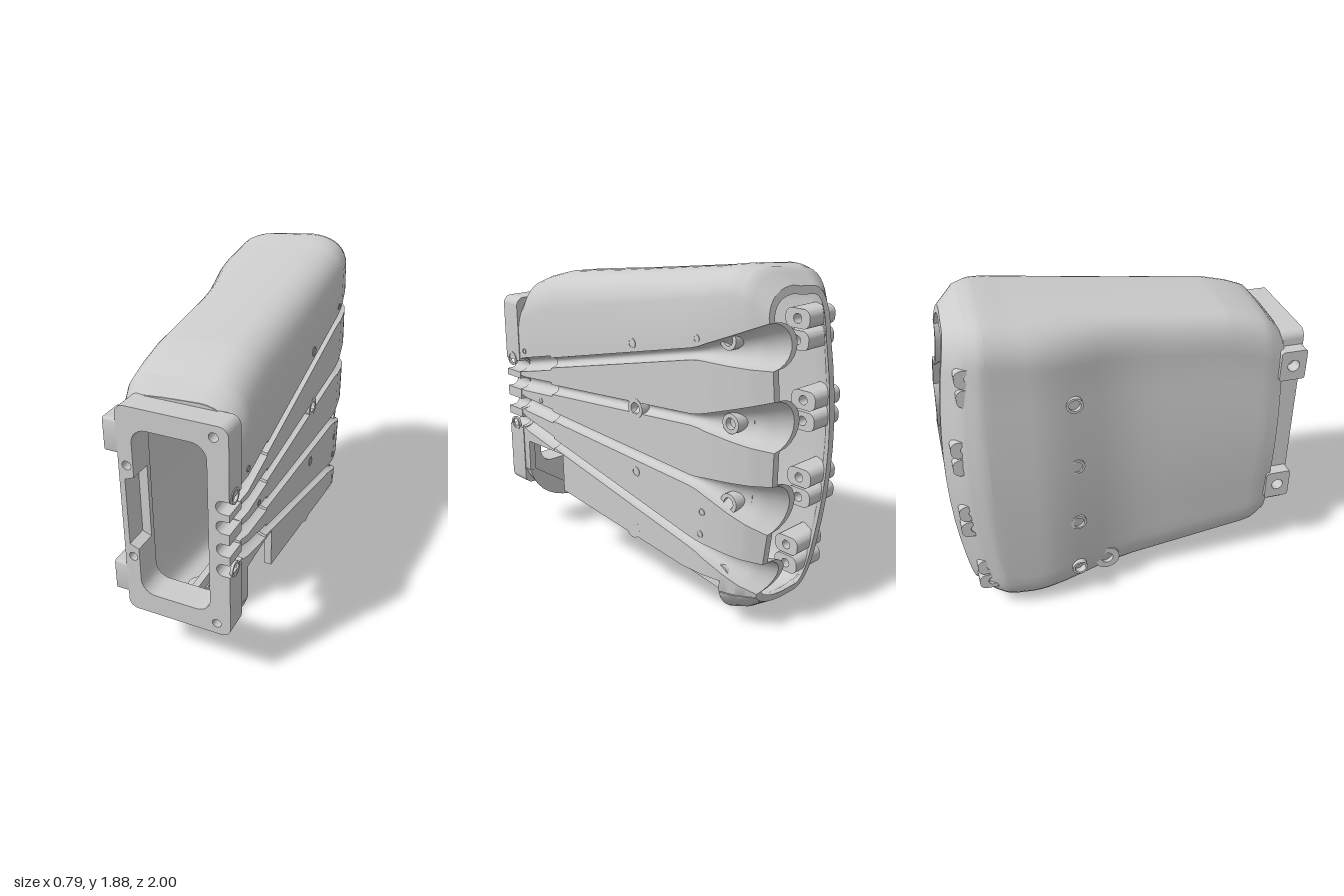
import * as THREE from 'three';
import { toCreasedNormals } from 'three/addons/utils/BufferGeometryUtils.js';

const material = new THREE.MeshStandardMaterial({ color: 0xcccccc, side: THREE.DoubleSide });
const WALL = 0.04;

// Piecewise linear profile along z, listed from front to back
function along(points, z) {
  if (z >= points[0][0]) return points[0][1];
  for (let i = 1; i < points.length; i++) {
    const [za, a] = points[i - 1], [zb, b] = points[i];
    if (z >= zb) return a + (b - a) * (za - z) / (za - zb);
  }
  return points[points.length - 1][1];
}
const TOP = [[0.87, 1.55], [0.8, 1.63], [0.7, 1.67], [0.55, 1.71], [0, 1.78], [-0.7, 1.875], [-0.8, 1.885], [-0.9, 1.87], [-1, 1.79]];
const BOTTOM = [[0.87, 0.25], [0.82, 0.2], [0.75, 0.18], [-0.57, 0], [-0.75, 0.015], [-0.88, 0.05], [-1, 0.12]];
const BACK_OF_HAND = [[0.87, 0.375], [0.8, 0.385], [-0.65, 0.34], [-0.8, 0.315], [-0.9, 0.285], [-1, 0.23]];
const PALM = [[0.87, -0.27], [0.8, -0.28], [0.05, -0.285], [-0.1, -0.305], [-0.25, -0.345], [-0.4, -0.385], [-0.5, -0.4], [-0.8, -0.4], [-0.9, -0.35], [-1, -0.25]];

// Tendon channels: centre height at wrist, at knuckle, at rim, and rim half width
const CHANNELS = [[0.77, 0.42, 0.33, 0.09], [0.89, 0.78, 0.72, 0.13], [1.01, 1.12, 1.15, 0.125], [1.12, 1.47, 1.53, 0.11]];
function channelAt([wrist, knuckle, rim, rimWidth], z) {
  return {
    y: along([[0.87, wrist], [-0.65, knuckle], [-1, rim]], z),
    half: z > 0.55 ? 0.043 : along([[-0.58, 0.03], [-1, rimWidth]], z),
    depth: z > 0.55 ? 0.07 : along([[-0.55, 0.05], [-0.75, 0.075], [-0.9, 0.115], [-1, 0.15]], z),
  };
}

const hasThumbGap = z => z <= 0.8 && z > -0.78;
function bezier(list, a, c, b, steps, end = 1) {
  for (let i = 1; i <= steps; i++) {
    const t = end * i / steps, s = 1 - t;
    list.push([s * s * a[0] + 2 * s * t * c[0] + t * t * b[0], s * s * a[1] + 2 * s * t * c[1] + t * t * b[1], 0]);
  }
}

// Outer cross-section at z, counter-clockwise from the lower grooved wall: [x, y, groove depth]
function section(z) {
  const xr = along(BACK_OF_HAND, z), xl = along(PALM, z), yt = along(TOP, z), yb = along(BOTTOM, z);
  const gap = hasThumbGap(z);
  const low = gap ? (z > 0.47 ? 0.645 : along([[0.47, 0.415], [-0.5, 0.285], [-0.78, 0.28]], z))
    : (z > 0 ? 0.45 : 0.22);
  const pts = [[xr, low, 0]];
  for (const channel of CHANNELS) {
    const c = channelAt(channel, z);
    for (let j = 0; j <= 10; j++) {
      const s = -Math.cos(Math.PI * j / 10);
      pts.push([xr, c.y + s * c.half, j % 10 ? c.depth * Math.sqrt(1 - s * s) : 0]);
    }
  }
  const y1 = yt - along([[0.87, 0.21], [-0.5, 0.14], [-1, 0.125]], z);
  pts.push([xr, y1, 0]);
  bezier(pts, [xr, y1], [xr - 0.03, yt], [xr - 0.2, yt], 8);
  pts.push([-0.02, yt - 0.01, 0]);
  const left = xl + 0.025, topLeft = [-0.12, yt - 0.02];
  pts.push([...topLeft, 0]);
  bezier(pts, topLeft, [xl + 0.005, yt - 0.03], [left, yt - 0.28], 10);
  const ya = yt - 0.28, yc = yb + 0.25;
  for (let i = 1; i <= 8; i++) {
    const t = i / 8;
    pts.push([left - 0.025 * Math.sin(Math.PI * t), ya + (yc - ya) * t, 0]);
  }
  bezier(pts, [left, yc], [xl + 0.03, yb + 0.01], [-0.12, yb], 8);
  pts.push([0, yb, 0]);
  bezier(pts, [0, yb], [xr - 0.06, yb + 0.02], [xr, low], 8, gap ? 0.06 : 0.98);
  return pts;
}

// Hollow shell: closed loops of outer and inner wall joined along z
function shellGeometry() {
  const stations = [0.87, 0.84, 0.801, 0.8, 0.75, 0.7, 0.62, 0.551, 0.549, 0.471, 0.469, 0.35, 0.2, 0.05,
    -0.02, -0.1, -0.18, -0.25, -0.32, -0.4, -0.45, -0.5, -0.55, -0.6, -0.65, -0.7, -0.74, -0.779, -0.781,
    -0.82, -0.85, -0.88, -0.9, -0.93, -0.96, -1];
  const position = [], index = [];
  let n = 0;
  for (const z of stations) {
    const pts = section(z), inner = [];
    n = pts.length;
    // the back rim is bowed: deepest at mid height
    const put = (x, y) => position.push(x, y, z > -0.6 ? z : -0.6 + (z + 0.6) * (1 - 0.24 * ((y - 0.98) / 0.85) ** 2));
    pts.forEach(([x, y, d], i) => {
      const a = pts[Math.max(i - 1, 0)], b = pts[Math.min(i + 1, n - 1)];
      const tx = b[0] - a[0], ty = b[1] - a[1], l = Math.hypot(tx, ty) || 1;
      put(x - d, y);
      inner.push([x - d - WALL * ty / l, y + WALL * tx / l]);
    });
    inner.reverse().forEach(p => put(p[0], p[1]));
  }
  const m = 2 * n;
  for (let s = 0; s < stations.length - 1; s++) {
    for (let i = 0; i < m; i++) {
      const a = s * m + i, b = s * m + (i + 1) % m;
      index.push(a, a + m, b, b, a + m, b + m);
    }
  }
  const last = (stations.length - 1) * m;
  for (let i = 0; i < n - 1; i++) {
    const a = last + i, b = a + 1, ia = last + m - 1 - i, ib = ia - 1;
    index.push(a, ia, b, b, ia, ib);
  }
  const geo = new THREE.BufferGeometry();
  geo.setAttribute('position', new THREE.Float32BufferAttribute(position, 3));
  geo.setIndex(index);
  return toCreasedNormals(geo, 0.6);
}

function roundedPath(path, x0, y0, x1, y1, r) {
  path.moveTo(x0 + r, y0);
  path.lineTo(x1 - r, y0).absarc(x1 - r, y0 + r, r, -Math.PI / 2, 0);
  path.lineTo(x1, y1 - r).absarc(x1 - r, y1 - r, r, 0, Math.PI / 2);
  path.lineTo(x0 + r, y1).absarc(x0 + r, y1 - r, r, Math.PI / 2, Math.PI);
  path.lineTo(x0, y0 + r).absarc(x0 + r, y0 + r, r, Math.PI, Math.PI * 1.5);
  return path;
}
const circle = (path, x, y, r) => path.absarc(x, y, r, 0, Math.PI * 2);
const extrude = (shape, depth) => toCreasedNormals(
  new THREE.ExtrudeGeometry(shape, { depth, bevelEnabled: false, curveSegments: 10 }), 0.6);

export function createModel() {
  const model = new THREE.Group();
  function add(name, geometry, x = 0, y = 0, z = 0) {
    const mesh = new THREE.Mesh(geometry, material);
    mesh.name = name;
    mesh.position.set(x, y, z);
    model.add(mesh);
    return mesh;
  }
  // Extrusion running along +x, centred on (y, z)
  const addAcross = (name, shape, x0, x1, y, z) => {
    add(name, extrude(shape, x1 - x0), x0, y, z).rotation.y = Math.PI / 2;
  };
  const ring = (outer, hole) => {
    const shape = circle(new THREE.Shape(), 0, 0, outer);
    shape.holes.push(circle(new THREE.Path(), 0, 0, hole));
    return shape;
  };
  const block = (w, h, r, hole) => {
    const shape = roundedPath(new THREE.Shape(), -w / 2, -h / 2, w / 2, h / 2, r);
    shape.holes.push(circle(new THREE.Path(), 0, 0, hole));
    return shape;
  };

  add('shell', shellGeometry());

  // Wrist end wall with opening
  const endWall = new THREE.Shape(section(0.87).map(p => new THREE.Vector2(p[0] - p[2], p[1])));
  endWall.holes.push(roundedPath(new THREE.Path(), -0.12, 0.46, 0.27, 1.42, 0.08));
  add('wristEndWall', extrude(endWall, 0.03), 0, 0, 0.845);

  // Wrist flange: slotted for the tendons, notched opening, four screw holes
  const flange = new THREE.Shape();
  const [x0, x1, y0, y1, r] = [-0.2, 0.38, 0.34, 1.53, 0.05];
  flange.moveTo(x0 + r, y0);
  flange.lineTo(x1 - r, y0).absarc(x1 - r, y0 + r, r, -Math.PI / 2, 0);
  for (const y of [0.75, 0.87, 1.0, 1.11]) {
    flange.lineTo(x1, y - 0.035).lineTo(0.345, y - 0.035);
    flange.absarc(0.345, y, 0.035, Math.PI * 1.5, Math.PI / 2, true);
    flange.lineTo(x1, y + 0.035);
  }
  flange.lineTo(x1, y1 - r).absarc(x1 - r, y1 - r, r, 0, Math.PI / 2);
  flange.lineTo(x0 + r, y1).absarc(x0 + r, y1 - r, r, Math.PI / 2, Math.PI);
  flange.lineTo(x0, y0 + r).absarc(x0 + r, y0 + r, r, Math.PI, Math.PI * 1.5);
  const opening = new THREE.Path(), q = 0.08;
  opening.moveTo(-0.12 + q, 0.46);
  opening.lineTo(0.27 - q, 0.46).absarc(0.27 - q, 0.46 + q, q, -Math.PI / 2, 0);
  opening.lineTo(0.27, 1.42 - q).absarc(0.27 - q, 1.42 - q, q, 0, Math.PI / 2);
  opening.lineTo(-0.12 + q, 1.42).absarc(-0.12 + q, 1.42 - q, q, Math.PI / 2, Math.PI);
  opening.lineTo(-0.12, 1.15).lineTo(-0.17, 1.13).lineTo(-0.17, 0.75).lineTo(-0.12, 0.73);
  opening.lineTo(-0.12, 0.46 + q).absarc(-0.12 + q, 0.46 + q, q, Math.PI, Math.PI * 1.5);
  flange.holes.push(opening);
  for (const [x, y] of [[0.305, 1.47], [0.305, 0.405], [-0.155, 1.21], [-0.155, 0.675]])
    flange.holes.push(circle(new THREE.Path(), x, y, 0.024));
  add('wristFlange', extrude(flange, 0.135), 0, 0, 0.865);

  // Mounting tabs on the palm side and matching eyelets on the other side
  for (const y of [0.525, 1.355]) addAcross('mountingTab', block(0.15, 0.18, 0.015, 0.035), -0.27, -0.19, y, 0.925);
  for (const y of [0.73, 1.15]) addAcross('flangeEyelet', ring(0.042, 0.03), 0.37, 0.385, y, 0.94);

  // Knuckle lugs on both walls, one pair per finger
  const knuckles = [[0.3, -0.73], [0.71, -0.77], [1.13, -0.77], [1.54, -0.74]];
  knuckles.forEach(([y, z], i) => {
    addAcross('knuckleBoss', ring(0.052, 0.03), 0.11, 0.285, y, z);
    addAcross('knuckleLug', block(0.12, 0.15, 0.04, 0.03), 0.1, 0.2, y, z - 0.02);
    const end = i === 0 || i === 3 ? 0.06 : 0;
    for (const dy of [-0.055, 0.055])
      addAcross('palmLug', block(0.15, 0.1, 0.04, 0.025), -0.34, -0.13, y + dy, -0.885 + end);
  });

  // Screw seats on the grooved wall
  addAcross('screwSeat', ring(0.055, 0.032), 0.27, 0.357, 1.08, -0.16);
  addAcross('screwSeat', ring(0.055, 0.03), 0.27, 0.355, 0.37, -0.13);
  for (const [z, y, radius] of [[-0.14, 1.43, 0.028], [-0.16, 0.72, 0.028], [-0.59, 1.53, 0.02], [-0.64, 0.635, 0.02],
    [-0.63, 0.51, 0.02], [0.8, 1.22, 0.017], [0.66, 0.94, 0.017]]) {
    const x = along(BACK_OF_HAND, z);
    addAcross('pinHole', ring(radius, radius * 0.75), x - 0.03, x + 0.003, y, z);
  }

  // Screw holes along the palm wall
  for (const y of [0.24, 0.59, 0.98, 1.37]) {
    const x = along(PALM, -0.32);
    addAcross('palmScrewHole', ring(0.045, 0.032), x - 0.004, x + 0.05, y, -0.32);
  }

  // Thumb bay: boss on the palm wall, floor lip and small cup
  addAcross('thumbBoss', ring(0.075, 0.036), -0.29, -0.2, 0.205, -0.14);
  add('thumbBayLip', new THREE.BoxGeometry(0.04, 0.09, 0.36), 0.01, 0.245, 0.63);
  add('thumbBayCup', new THREE.CylinderGeometry(0.06, 0.06, 0.05, 20), -0.02, 0.2, 0.57);
  return model;
}
